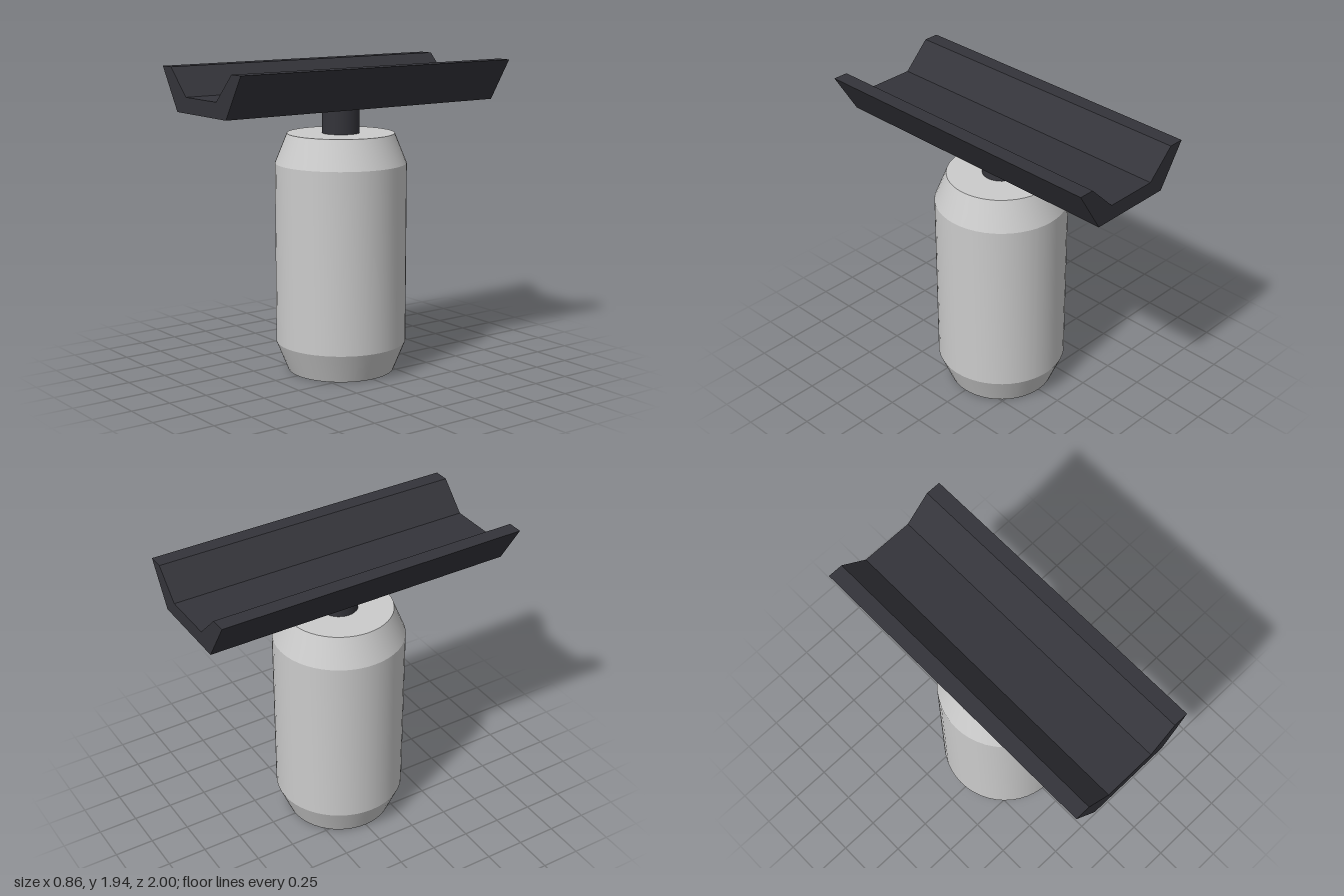
import * as THREE from 'three';
import { toCreasedNormals } from 'three/addons/utils/BufferGeometryUtils.js';

const points = (list) => list.map(([x, y]) => new THREE.Vector2(x, y));

export function createModel() {
  const group = new THREE.Group();
  const grey = new THREE.MeshStandardMaterial({ color: 0xcccccc });
  const dark = new THREE.MeshStandardMaterial({ color: 0x34343a });

  const add = (name, geometry, material) => {
    const mesh = new THREE.Mesh(geometry, material);
    mesh.name = name;
    group.add(mesh);
    return mesh;
  };

  // Canister body: a cylinder with a tapered shoulder at each end
  const bodyProfile = points([
    [0, 0], [0.335, 0], [0.41, 0.185], [0.41, 1.32], [0.335, 1.505], [0, 1.505],
  ]);
  add('body', toCreasedNormals(new THREE.LatheGeometry(bodyProfile, 48), 0.3), grey);

  // Short stem joining the body to the cradle
  const stem = add('stem', new THREE.CylinderGeometry(0.117, 0.117, 0.19, 32), dark);
  stem.position.y = 1.59;

  // Open trough with flared walls, running along z
  const troughShape = new THREE.Shape(points([
    [-0.27, 1.675], [0.27, 1.675], [0.432, 1.937], [0.335, 1.937],
    [0.168, 1.77], [-0.168, 1.77], [-0.335, 1.937], [-0.432, 1.937],
  ]));
  const trough = new THREE.ExtrudeGeometry(troughShape, { depth: 2, bevelEnabled: false });
  trough.translate(0, 0, -1);
  add('trough', trough, dark);

  return group;
}
